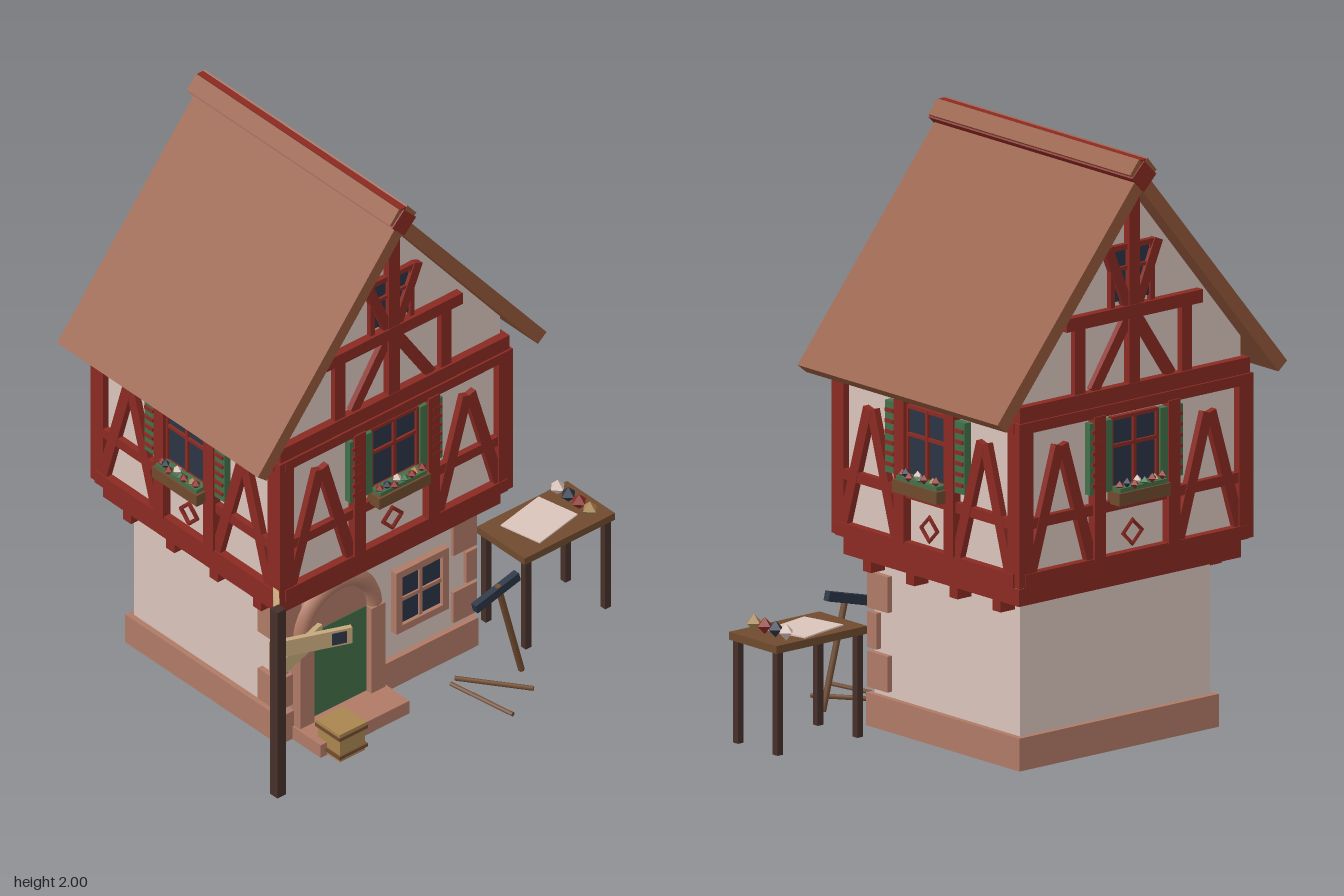
import * as THREE from 'three';

const paint = (name, color) => {
  const m = new THREE.MeshStandardMaterial({ color });
  m.name = name;
  return m;
};

export function createModel() {
  const plaster = paint('plaster', 0xdac4bb), timber = paint('red timber', 0x8a2a22);
  const roofMat = paint('roof tile', 0x93573b), stone = paint('stone', 0xb07a66);
  const green = paint('green paint', 0x437049), navy = paint('dark glass', 0x2b3545);
  const dark = paint('dark wood', 0x46302a), wood = paint('brown wood', 0x704a2e);
  const tan = paint('tan wood', 0xa9854f), pale = paint('pale wood', 0xc5a87c);

  const model = new THREE.Group();
  model.name = 'timberedHouse';
  const group = (parent, name, x = 0, y = 0, z = 0) => {
    const g = new THREE.Group();
    g.name = name;
    g.position.set(x, y, z);
    parent.add(g);
    return g;
  };
  const add = (parent, name, geo, mat, x = 0, y = 0, z = 0) => {
    const m = new THREE.Mesh(geo, mat);
    m.name = name;
    m.position.set(x, y, z);
    parent.add(m);
    return m;
  };
  const box = (parent, name, mat, w, h, d, x, y, z) =>
    add(parent, name, new THREE.BoxGeometry(w, h, d), mat, x, y, z);
  // Straight timber between two points of a wall plane
  const bar = (parent, name, x1, y1, x2, y2, w = 0.04, d = 0.04) => {
    const m = box(parent, name, timber, w, Math.hypot(x2 - x1, y2 - y1), d, (x1 + x2) / 2, (y1 + y2) / 2, 0.004);
    m.rotation.z = Math.atan2(x1 - x2, y2 - y1);
    return m;
  };
  // Round stick between two points in space
  const stick = (parent, name, mat, a, b, r) => {
    const p = new THREE.Vector3(...a), q = new THREE.Vector3(...b);
    const m = add(parent, name, new THREE.CylinderGeometry(r, r, p.distanceTo(q), 6), mat);
    m.position.copy(p).lerp(q, 0.5);
    m.quaternion.setFromUnitVectors(new THREE.Vector3(0, 1, 0), q.sub(p).normalize());
    return m;
  };
  const prism = (points, depth) => {
    const s = new THREE.Shape(points.map(([x, y]) => new THREE.Vector2(x, y)));
    return new THREE.ExtrudeGeometry(s, { depth, bevelEnabled: false }).translate(0, 0, -depth / 2);
  };

  const house = group(model, 'house', -0.14, 0, -0.13);

  // Ground floor, plinth and corner stones
  box(house, 'groundFloorWall', plaster, 0.81, 0.5, 0.72, 0, 0.34, 0);
  box(house, 'plinth', stone, 0.85, 0.11, 0.76, 0, 0.055, 0);
  for (const s of [-1, 1]) {
    for (let i = 0; i < 4; i++) {
      const w = i % 2 ? 0.045 : 0.1, h = i === 3 ? 0.04 : 0.12;
      box(house, 'cornerStone', stone, w, h, w, s * (0.425 - w / 2), 0.13 + i * 0.133 + h / 2, 0.373 - w / 2);
    }
  }

  // Arched doorway
  const door = group(house, 'doorway', -0.18, 0, 0.36);
  box(door, 'doorStep', stone, 0.38, 0.05, 0.15, 0, 0.025, 0.085);
  box(door, 'doorPanel', green, 0.25, 0.34, 0.03, 0, 0.215, 0.01);
  for (const s of [-1, 1]) box(door, 'doorJamb', stone, 0.06, 0.335, 0.06, s * 0.152, 0.217, 0.02);
  add(door, 'doorArch', new THREE.TorusGeometry(0.154, 0.03, 8, 20, Math.PI), stone, 0, 0.385, 0.02);
  add(door, 'archInfill', new THREE.CylinderGeometry(0.15, 0.15, 0.03, 20, 1, false, Math.PI / 2, Math.PI)
    .rotateX(Math.PI / 2), stone, 0, 0.385, 0.008);

  // Ground floor window
  const lowWindow = group(house, 'groundFloorWindow', 0.183, 0.33, 0.36);
  box(lowWindow, 'glass', navy, 0.2, 0.21, 0.009, 0, 0, 0.006);
  for (const s of [-1, 1]) {
    box(lowWindow, 'frameSide', stone, 0.026, 0.24, 0.03, s * 0.1, 0, 0.01);
    box(lowWindow, 'frameRail', stone, 0.22, 0.026, 0.03, 0, s * 0.108, 0.01);
  }
  box(lowWindow, 'mullion', stone, 0.014, 0.2, 0.02, 0, 0, 0.007);
  box(lowWindow, 'transom', stone, 0.18, 0.014, 0.02, 0, 0, 0.007);

  // Upper floor body with sill, corner posts and joist ends
  box(house, 'upperWall', plaster, 0.95, 0.57, 0.88, 0, 0.915, 0);
  box(house, 'sill', timber, 0.946, 0.07, 0.868, 0, 0.605, 0);
  for (const sx of [-1, 1]) {
    for (const sz of [-1, 1]) box(house, 'cornerPost', timber, 0.06, 0.55, 0.06, sx * 0.468, 0.915, sz * 0.436);
    for (let i = 0; i < 4; i++) box(house, 'joistEnd', timber, 0.06, 0.04, 0.04, sx * 0.44, 0.552, 0.322 - i * 0.214);
  }

  // One timbered wall face, facing +z, with half width hw
  const timberedFace = (name, hw) => {
    const f = group(house, name);
    const post = hw - 0.317;
    bar(f, 'topBeam', -hw, 1.172, hw, 1.172, 0.036, 0.045);
    bar(f, 'bottomBeam', -hw, 0.662, hw, 0.662, 0.046, 0.05);
    bar(f, 'middleRail', -hw, 0.848, hw, 0.848, 0.035, 0.036);
    for (const s of [-1, 1]) {
      const a = s * (hw - 0.16);
      bar(f, 'wallPost', s * post, 0.68, s * post, 1.16, 0.048, 0.056);
      bar(f, 'brace', a - 0.008, 1.09, a - 0.13, 0.68);
      bar(f, 'brace', a + 0.008, 1.09, a + 0.13, 0.68, 0.04, 0.038);
      // Slatted shutter
      box(f, 'shutter', green, 0.095, 0.24, 0.028, s * 0.15, 1.02, 0.012);
      for (let i = 0; i < 6; i++) box(f, 'shutterSlat', timber, 0.04, 0.012, 0.03, s * 0.172, 0.93 + i * 0.036, 0.018);
    }
    // Window with bars
    box(f, 'windowGlass', navy, 0.2, 0.24, 0.009, 0, 1.02, 0.005);
    for (const x of [-0.098, 0, 0.098]) bar(f, 'windowUpright', x, 0.9, x, 1.14, 0.012, 0.03);
    for (const y of [0.905, 1.045, 1.137]) bar(f, 'windowBar', -0.1, y, 0.1, y, 0.012, 0.028);
    // Flower box
    box(f, 'flowerBox', wood, 0.22, 0.042, 0.06, 0, 0.878, 0.04);
    box(f, 'leaves', green, 0.2, 0.02, 0.045, 0, 0.903, 0.04);
    [timber, navy, timber, plaster, green, timber, tan, timber].forEach((m, i) =>
      add(f, 'flower', new THREE.OctahedronGeometry(0.017), m, -0.088 + i * 0.025, 0.918 + (i % 2) * 0.008, 0.045 + (i % 3) * 0.008));
    // Diamond ornament
    const ring = new THREE.TorusGeometry(0.04, 0.009, 4, 4);
    add(f, 'diamondOrnament', ring, timber, 0, 0.742, 0.006);
    return f;
  };
  timberedFace('frontFace', 0.475).position.z = 0.44;
  const back = timberedFace('backFace', 0.475);
  back.position.z = -0.44;
  back.rotation.y = Math.PI;
  for (const s of [-1, 1]) {
    const side = timberedFace(s > 0 ? 'leftFace' : 'rightFace', 0.44);
    side.position.x = s * 0.475;
    side.rotation.y = s * Math.PI / 2;
  }

  // Gable walls and their timbers
  add(house, 'gableWall', prism([[-0.474, 1.19], [0.474, 1.19], [0.474, 1.31], [0, 1.89], [-0.474, 1.31]], 0.86), plaster);
  for (const s of [-1, 1]) {
    const g = group(house, s > 0 ? 'frontGable' : 'backGable', 0, 0, s * 0.43);
    g.rotation.y = s > 0 ? 0 : Math.PI;
    bar(g, 'gableBase', -0.49, 1.215, 0.49, 1.215, 0.055, 0.05);
    bar(g, 'collarBeam', -0.29, 1.482, 0.29, 1.482, 0.044, 0.05);
    bar(g, 'kingPost', 0, 1.24, 0, 1.93, 0.046, 0.046);
    box(g, 'gableGlass', navy, 0.16, 0.18, 0.009, 0, 1.61, 0.005);
    bar(g, 'gableWindowHead', -0.1, 1.7, 0.1, 1.7, 0.018, 0.03);
    bar(g, 'gableWindowBar', -0.08, 1.63, 0.08, 1.63, 0.012, 0.03);
    for (const t of [-1, 1]) {
      bar(g, 'gablePost', t * 0.227, 1.24, t * 0.227, 1.465, 0.044, 0.036);
      bar(g, 'gableBrace', t * 0.015, 1.465, t * 0.165, 1.24, 0.038, 0.032);
      bar(g, 'windowBrace', t * 0.02, 1.5, t * 0.108, 1.705, 0.036, 0.038);
      bar(g, 'gableWindowSide', t * 0.085, 1.5, t * 0.085, 1.7, 0.018, 0.028);
    }
  }

  // Roof and ridge
  add(house, 'roof', prism([[-0.617, 1.215], [-0.58, 1.185], [0, 1.89], [0.58, 1.185], [0.617, 1.215], [0, 1.965]], 0.99), roofMat);
  const ridge = box(house, 'ridgeBeam', timber, 0.072, 0.072, 1.01, 0, 1.942, 0);
  ridge.rotation.z = Math.PI / 4;
  for (const s of [-1, 1]) {
    const cap = box(house, 'ridgeCap', roofMat, 0.06, 0.016, 1.0, s * 0.031, 1.972, 0);
    cap.rotation.z = -s * 0.88;
  }
  box(house, 'ridgeStrip', timber, 0.024, 0.03, 1.0, 0, 1.983, 0);

  // Work table with paper and stones
  const table = group(model, 'table', 0.567, 0, 0.258);
  box(table, 'tableTop', wood, 0.386, 0.026, 0.236, 0, 0.357, 0);
  for (const sx of [-1, 1])
    for (const sz of [-1, 1]) box(table, 'tableLeg', dark, 0.024, 0.345, 0.024, sx * 0.17, 0.172, sz * 0.098);
  box(table, 'paper', plaster, 0.2, 0.005, 0.16, -0.02, 0.373, -0.01).rotation.y = 0.2;
  [plaster, navy, timber, tan].forEach((m, i) =>
    add(table, 'gem', new THREE.OctahedronGeometry(0.029), m, 0.122, 0.398, -0.083 + i * 0.053));

  // Signpost with three boards: height, end x, end z
  const sign = group(model, 'signpost', -0.745, 0, 0.45);
  box(sign, 'post', dark, 0.036, 0.735, 0.036, 0, 0.367, 0);
  for (const [y, dx, dz] of [[0.66, 0.12, -0.15], [0.575, 0.235, 0.092], [0.49, 0.245, -0.075]]) {
    const board = group(sign, 'signBoard', 0, y, 0);
    const len = Math.hypot(dx, dz);
    board.rotation.y = Math.atan2(-dz, dx);
    box(board, 'board', pale, len, 0.062, 0.018, len / 2, 0, 0);
    if (dz > 0) box(board, 'boardMark', navy, 0.05, 0.045, 0.024, len - 0.045, 0, 0);
  }

  // Crate by the door
  const crate = group(model, 'crate', -0.43, 0, 0.4);
  box(crate, 'crateBody', tan, 0.108, 0.1, 0.108, 0, 0.055, 0);
  for (const y of [0.025, 0.098]) box(crate, 'crateBand', wood, 0.122, 0.012, 0.122, 0, y, 0);
  box(crate, 'crateLid', tan, 0.116, 0.012, 0.116, 0, 0.11, 0);

  // Pickaxe and loose sticks
  stick(model, 'toolHandle', wood, [0.195, 0.385, 0.45], [0.296, 0.006, 0.45], 0.011);
  box(model, 'toolHead', navy, 0.19, 0.032, 0.024, 0.187, 0.366, 0.45).rotation.z = 0.25;
  stick(model, 'looseStick', wood, [0.085, 0.025, 0.365], [0.24, 0.025, 0.575], 0.008);
  stick(model, 'looseStick', wood, [0.055, 0.025, 0.38], [0.095, 0.025, 0.64], 0.008);

  return model;
}
